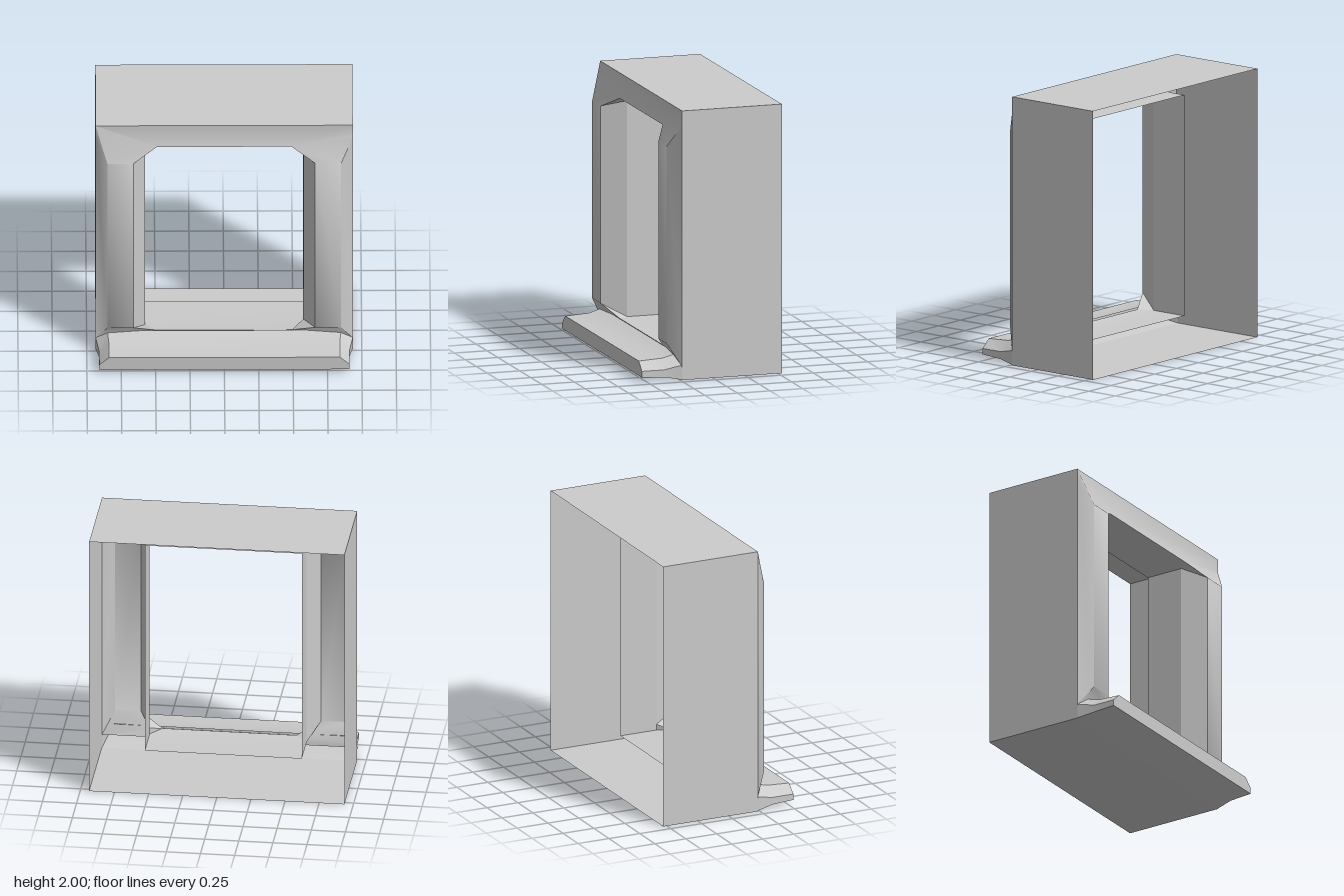
import * as THREE from 'three';
import { toCreasedNormals } from 'three/addons/utils/BufferGeometryUtils.js';

// Closed ring, symmetric in x, from its +x points listed bottom to top
const ring = (half) => {
  const right = half.map((p) => new THREE.Vector3(...p));
  const left = right.map((p) => new THREE.Vector3(-p.x, p.y, p.z)).reverse();
  return [...right, ...left];
};

// Skin between successive rings, skipping collapsed triangles
function loft(name, rings, crease, material) {
  const positions = [];
  const tri = (a, b, c) => {
    if (new THREE.Triangle(a, b, c).getArea() < 1e-6) return;
    for (const p of [a, b, c]) positions.push(p.x, p.y, p.z);
  };
  for (let i = 0; i < rings.length - 1; i++) {
    const n = rings[i].length;
    for (let j = 0; j < n; j++) {
      const k = (j + 1) % n;
      tri(rings[i][j], rings[i][k], rings[i + 1][k]);
      tri(rings[i][j], rings[i + 1][k], rings[i + 1][j]);
    }
  }
  const geometry = new THREE.BufferGeometry();
  geometry.setAttribute('position', new THREE.Float32BufferAttribute(positions, 3));
  const mesh = new THREE.Mesh(toCreasedNormals(geometry, crease), material);
  mesh.name = name;
  return mesh;
}

export function createModel() {
  const group = new THREE.Group();
  group.name = 'windowFrame';
  const material = new THREE.MeshStandardMaterial({ color: 0xcccccc, side: THREE.DoubleSide });
  const add = (name, rings, crease) => group.add(loft(name, rings, crease, material));

  const front = 0.235, back = -0.53, ridge = 0.325;

  // Thin outer box, open at the back
  add('outerShell', [back, front].map((z) => ring([[0.935, 0, z], [0.935, 2, z]])), 0.3);

  // Front casing: flat header and raised side mouldings with sloped ends
  const openingEdge = ring([
    [0.49, 0.175, front], [0.66, 0.26, ridge], [0.66, 1.725, ridge], [0.49, 1.81, front],
  ]);
  add('frontCasing', [
    ring([[0.935, 0.1, front], [0.935, 0.11, front], [0.935, 1.89, front], [0.935, 2, front]]),
    ring([[0.49, 0.175, front], [0.85, 0.26, ridge], [0.85, 1.725, ridge], [0.49, 1.81, front]]),
    openingEdge,
  ], 0.82);

  // Inner lining: splayed edge, then a straight sleeve
  const sleeve = (z) => ring([[0.575, 0.165, z], [0.575, 0.21, z], [0.575, 1.77, z], [0.575, 1.81, z]]);
  add('innerLining', [openingEdge, sleeve(0.15), sleeve(-0.14)], 0.3);

  // Projecting sill with chamfered upper corners and a closed front
  const nose = [[0.91, 0.035, 0.535], [0.91, 0.08, 0.535], [0.84, 0.143, 0.535]];
  add('sill', [
    ring([[0.935, 0, 0.22], [0.935, 0.11, 0.24], [0.85, 0.182, 0.25]]),
    ring([[0.91, 0.025, 0.365], [0.91, 0.08, 0.365], [0.84, 0.153, 0.355]]),
    ring(nose),
    ring(nose.map(([, y, z]) => [0, y, z])),
  ], 0.3);

  return group;
}
